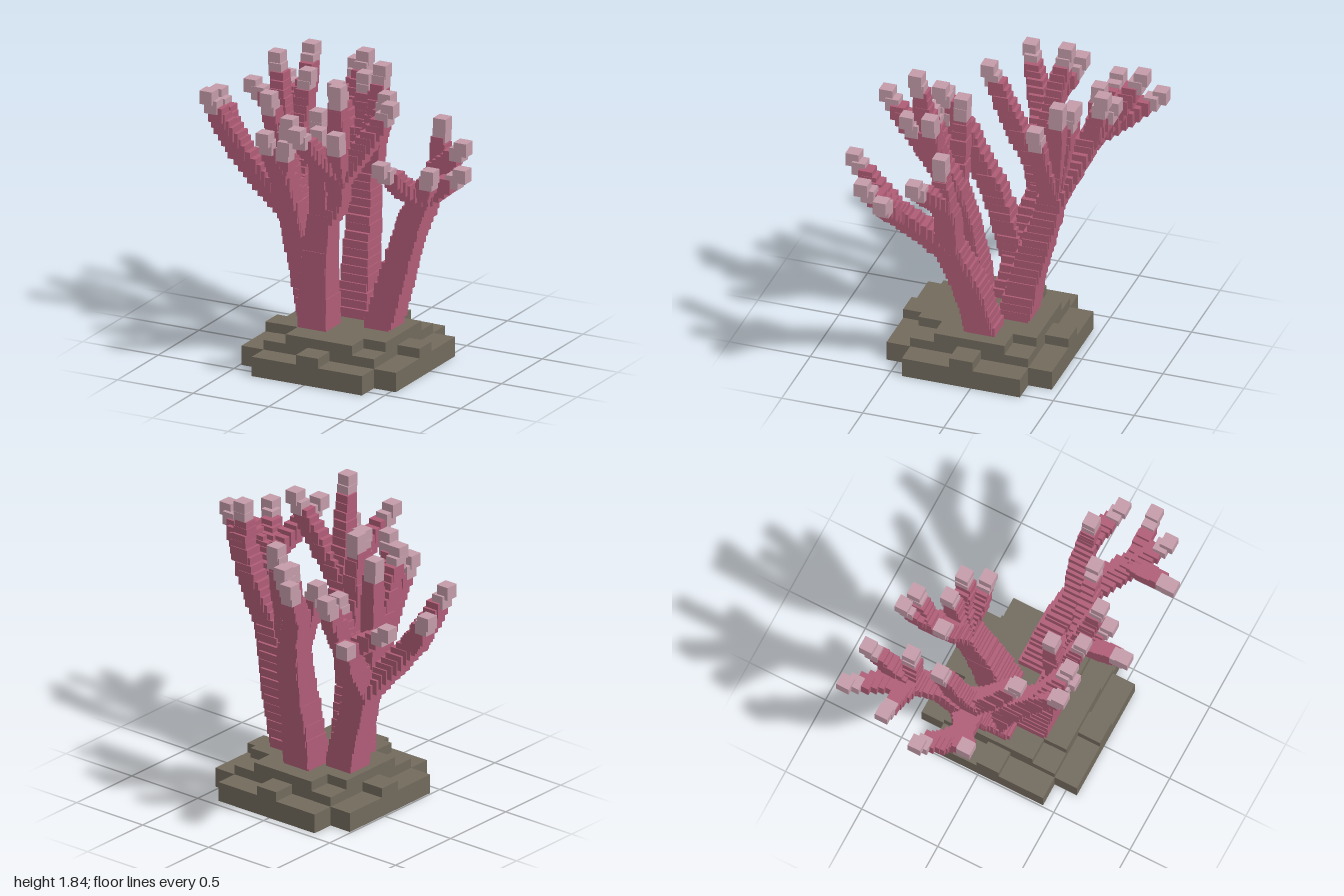
import * as THREE from 'three';

const stone = new THREE.MeshStandardMaterial({ color: 0x726a5d, name: 'stone' });
const coral = new THREE.MeshStandardMaterial({ color: 0xb05d77, name: 'coralPink' });
const pale = new THREE.MeshStandardMaterial({ color: 0xc49ca9, name: 'paleTip' });

// Small seeded generator for the uneven stacking of blocks
let seed = 7;
const rand = () => (seed = (seed * 16807) % 2147483647) / 2147483647;
const jitter = () => (rand() - 0.5) * 0.012;
const vec = (x, y, z) => new THREE.Vector3(x, y, z);

function block(parent, name, w, h, d, x, y, z, material) {
  const mesh = new THREE.Mesh(new THREE.BoxGeometry(w, h, d), material);
  mesh.position.set(x, y, z);
  mesh.name = name;
  parent.add(mesh);
}

// A limb is a stack of upright blocks along a curve, thinning from w0 to w1.
// Its last stretch, tip long, is made of pale cubes.
function limb(parent, name, points, w0, w1, tip = 0) {
  const group = new THREE.Group();
  group.name = name;
  const curve = new THREE.CatmullRomCurve3(points, false, 'centripetal');
  const length = curve.getLength();
  const body = length - tip;
  const steps = Math.ceil(body / 0.052);
  for (let i = 0; i <= steps; i++) {
    const t = i / steps;
    const p = curve.getPointAt((t * body) / length);
    const w = w0 + (w1 - w0) * t;
    block(group, name + 'Block', w + jitter(), 0.09, w + jitter(),
      p.x + jitter(), p.y + 0.01, p.z + jitter(), coral);
  }
  for (let i = 1; tip && i <= 2; i++) {
    const p = curve.getPointAt((body + (tip * i) / 2) / length);
    block(group, 'tipCube', 0.082, 0.082, 0.082, p.x, p.y, p.z, pale);
  }
  parent.add(group);
}

// A branch from start over middle to end, with a pale-ended twig to each tip
function branch(parent, name, w0, w1, [start, middle, end], tips = []) {
  limb(parent, name, [start, middle, end], w0, w1);
  for (const tip of tips) {
    const bend = vec(
      THREE.MathUtils.lerp(end.x, tip.x, 0.55),
      THREE.MathUtils.lerp(end.y, tip.y, 0.5),
      THREE.MathUtils.lerp(end.z, tip.z, 0.55));
    limb(parent, 'twig', [end, bend, tip], 0.11, 0.088, 0.13);
  }
}

// Stepped rock: a grid of cells, higher towards the middle, corners missing
function addRock(parent) {
  const rock = new THREE.Group();
  rock.name = 'rockBase';
  const cell = 0.1457;
  for (let i = -3; i <= 3; i++) {
    for (let k = -3; k <= 3; k++) {
      const r = i * i + k * k;
      if (r > 13) continue;
      const h = r <= 5 ? 0.237 : r <= 9 ? 0.178 : 0.119;
      block(rock, 'rockCell', cell, h, cell, 0.02 + i * cell, h / 2, 0.06 + k * cell, stone);
    }
  }
  parent.add(rock);
}

export function createModel() {
  const model = new THREE.Group();
  model.name = 'blockCoral';
  addRock(model);

  // Right trunk and its fork
  const right = vec(0.48, 0.9, 0.15);
  branch(model, 'rightTrunk', 0.17, 0.14, [vec(0.23, 0.24, 0.02), vec(0.34, 0.55, 0.06), right]);
  branch(model, 'rightInnerFork', 0.14, 0.11, [right, vec(0.58, 1.12, 0.12), vec(0.66, 1.3, 0.12)],
    [vec(0.68, 1.59, 0.13), vec(0.87, 1.5, 0.23)]);
  branch(model, 'rightOuterFork', 0.14, 0.11, [right, vec(0.6, 1.08, 0.3), vec(0.69, 1.2, 0.4)],
    [vec(0.955, 1.4, 0.4), vec(0.83, 1.42, 0.56), vec(0.58, 1.46, 0.7)]);

  // Front trunk and its fork
  const front = vec(-0.03, 0.92, 0.28);
  branch(model, 'frontTrunk', 0.19, 0.14, [vec(-0.1, 0.24, 0.19), vec(-0.08, 0.6, 0.23), front],
    [vec(0.02, 1.5, 0.42), vec(-0.07, 1.55, 0.26)]);
  branch(model, 'frontFork', 0.14, 0.11, [front, vec(0.05, 1.04, 0.28), vec(0.11, 1.22, 0.34)],
    [vec(0.42, 1.68, 0.29), vec(0.165, 1.8, 0.46), vec(0.02, 1.58, 0.69), vec(0.18, 1.52, 0.51)]);

  // Left trunk and its forks
  const left = vec(-0.42, 0.8, -0.1);
  const leftUpper = vec(-0.44, 1.0, -0.06);
  branch(model, 'leftTrunk', 0.18, 0.15, [vec(-0.21, 0.24, 0.01), vec(-0.32, 0.55, -0.05), left]);
  branch(model, 'leftUprightFork', 0.14, 0.11, [left, vec(-0.43, 0.9, -0.09), leftUpper],
    [vec(-0.42, 1.59, 0.22), vec(-0.59, 1.69, -0.2)]);
  branch(model, 'leftOuterFork', 0.14, 0.11, [left, vec(-0.6, 1.0, -0.03), vec(-0.72, 1.15, 0)],
    [vec(-0.955, 1.42, -0.16), vec(-0.87, 1.5, 0.12)]);
  branch(model, 'leftRearFork', 0.14, 0.11, [left, vec(-0.46, 1.02, -0.26), vec(-0.55, 1.2, -0.4)],
    [vec(-0.87, 1.41, -0.42), vec(-0.8, 1.38, -0.71), vec(-0.61, 1.6, -0.66), vec(-0.51, 1.52, -0.43)]);
  branch(model, 'leftFrontFork', 0.14, 0.11,
    [vec(-0.28, 0.45, 0), vec(-0.29, 0.8, 0.12), vec(-0.29, 1.2, 0.31)],
    [vec(-0.32, 1.43, 0.45), vec(-0.17, 1.54, 0.43), vec(-0.18, 1.4, 0.45)]);

  // Back trunk and its fork
  const back = vec(-0.06, 1.0, -0.3);
  branch(model, 'backTrunk', 0.19, 0.14, [vec(0, 0.24, -0.11), vec(-0.02, 0.6, -0.19), back],
    [vec(-0.28, 1.5, -0.35), vec(-0.11, 1.58, -0.39), vec(0.02, 1.66, -0.36), vec(0.11, 1.53, -0.25)]);
  branch(model, 'backFork', 0.14, 0.11, [back, vec(-0.14, 1.16, -0.38), vec(-0.22, 1.33, -0.46)],
    [vec(-0.28, 1.58, -0.6), vec(-0.2, 1.65, -0.56)]);

  return model;
}
